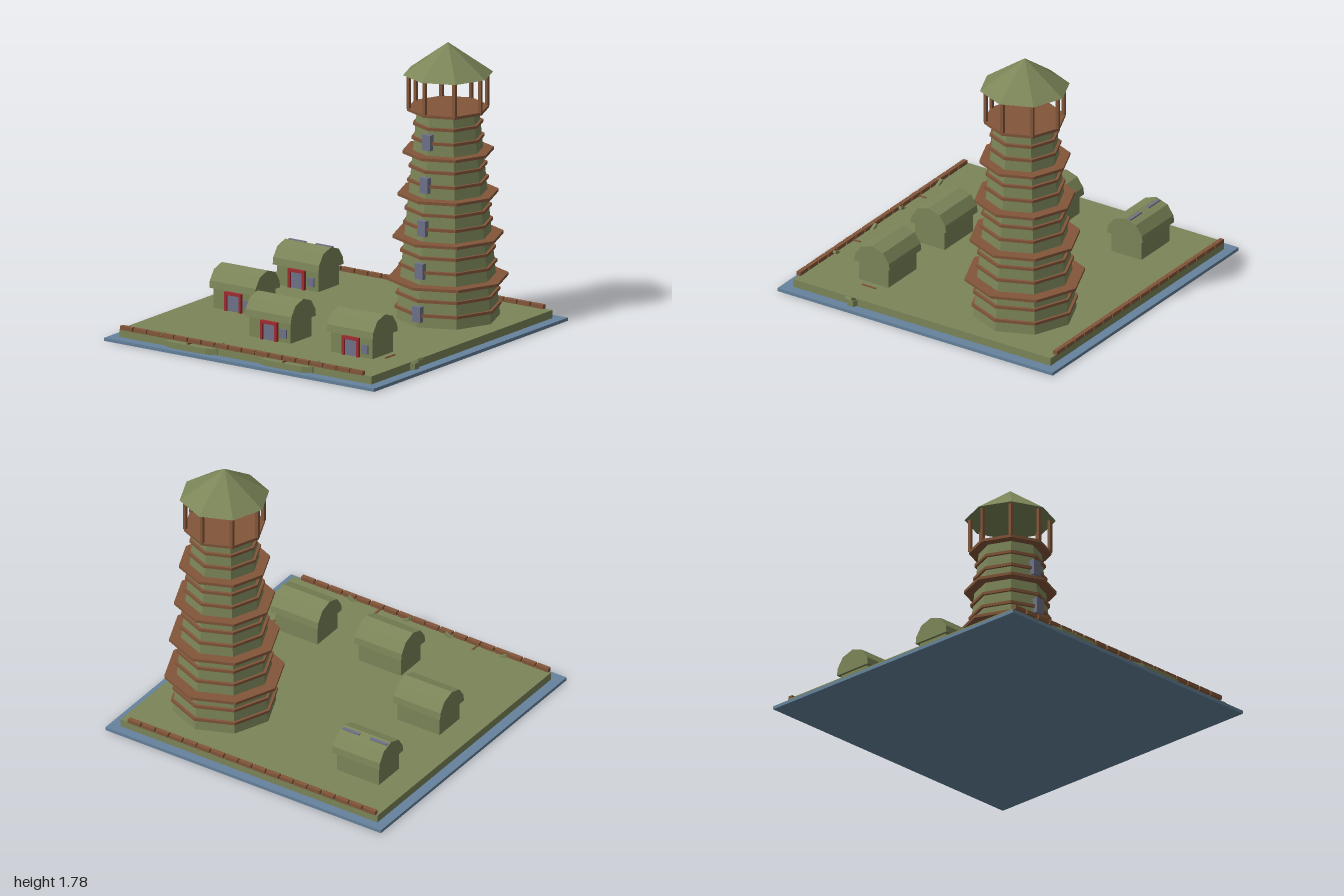
import * as THREE from 'three';

const paint = (name, color) => {
  const m = new THREE.MeshStandardMaterial({ color });
  m.name = name;
  return m;
};

export function createModel() {
  const root = new THREE.Group();
  const green = paint('moss green', 0x7b8558);
  const brown = paint('timber brown', 0x82563a);
  const grey = paint('glass grey', 0x6e7288);
  const red = paint('door red', 0xa02c30);
  const blue = paint('water blue', 0x65829c);

  const add = (parent, name, geo, mat, x = 0, y = 0, z = 0) => {
    const m = new THREE.Mesh(geo, mat);
    m.name = name;
    m.position.set(x, y, z);
    parent.add(m);
    return m;
  };
  const box = (parent, name, mat, w, h, d, x, y, z) =>
    add(parent, name, new THREE.BoxGeometry(w, h, d), mat, x, y, z);
  // Eight-sided drum with flat faces and a corner towards the front
  const octagon = (rTop, rBottom, h) =>
    new THREE.CylinderGeometry(rTop, rBottom, h, 8).toNonIndexed();
  const flat = (geo) => { geo.computeVertexNormals(); return geo; };
  const group = (name, x, y, z) => {
    const g = new THREE.Group();
    g.name = name;
    g.position.set(x, y, z);
    root.add(g);
    return g;
  };

  // Water and island
  box(root, 'water', blue, 2, 0.02, 2, 0, 0.01, 0);
  box(root, 'ground', green, 1.865, 0.05, 1.87, -0.002, 0.045, -0.004);

  // Low brick walls along front and back
  for (const z of [-0.933, 0.932])
    for (let i = 0; i < 18; i++)
      box(root, 'wallBrick', brown, 0.09, 0.025, 0.028, -0.876 + i * 0.1003, 0.0825, z);

  // Tower
  const tower = group('tower', 0.5, 0, -0.46);
  const y0 = 0.07, y1 = 1.365;
  const radiusAt = (y) => 0.318 - 0.128 * (y - y0) / (y1 - y0);
  add(tower, 'towerShaft', flat(octagon(0.19, 0.318, y1 - y0)), green, 0, (y0 + y1) / 2, 0);

  // Every third ring is a wide ledge, the topmost is the lookout floor
  for (let i = 0; i < 15; i++) {
    const y = 0.145 + i * 0.0875;
    const wide = i % 3 === 2;
    const r = wide ? 0.369 - 0.03 * (i - 2) / 3 : radiusAt(y) + 0.017;
    add(tower, wide ? 'ledge' : 'trimRing', flat(octagon(r, r, 0.018)), brown, 0, y, 0);
  }
  for (let i = 0; i < 5; i++) {
    const y = 0.152 + i * 0.262;
    box(tower, 'towerWindow', grey, 0.06, 0.097, 0.04, 0, y, radiusAt(y));
  }
  for (let i = 0; i < 8; i++) {
    const a = i * Math.PI / 4;
    box(tower, 'lookoutPost', brown, 0.02, 0.215, 0.02, 0.24 * Math.sin(a), 1.4825, 0.24 * Math.cos(a));
  }
  add(tower, 'towerRoof', flat(new THREE.ConeGeometry(0.275, 0.195, 8).toNonIndexed()), green, 0, 1.6825, 0);

  // Huts with faceted barrel roofs
  const half = [[0.129, 0], [0.123, 0.044], [0.08, 0.106]];
  const profile = [...half, [0, 0.132], ...half.map(([x, y]) => [-x, y]).reverse()];
  const roofShape = new THREE.Shape(profile.map(([x, y]) => new THREE.Vector2(x, y)));
  const roofGeo = new THREE.ExtrudeGeometry(roofShape, { depth: 0.34, bevelEnabled: false });
  roofGeo.translate(0, 0, -0.17).rotateY(Math.PI / 2);

  const hut = (x, z) => {
    const g = group('hut', x, 0, z);
    box(g, 'hutWalls', green, 0.305, 0.13, 0.215, 0, 0.135, 0);
    add(g, 'hutRoof', roofGeo, green, 0, 0.197, 0);
    for (const s of [-1, 1])
      box(g, 'doorPost', red, 0.018, 0.118, 0.024, s * 0.053, 0.129, 0.115);
    box(g, 'doorLintel', red, 0.124, 0.018, 0.024, 0, 0.18, 0.115);
    box(g, 'door', grey, 0.088, 0.101, 0.008, 0, 0.1205, 0.111);
    box(g, 'hutWindow', grey, 0.05, 0.055, 0.014, 0.1, 0.125, 0.111);
    return g;
  };
  const rearHut = hut(-0.605, -0.555);
  hut(-0.605, 0.1);
  hut(-0.053, 0.5);
  hut(0.553, 0.5);

  // Skylight strips on the rear hut
  for (const s of [-1, 1])
    box(rearHut, 'skylight', grey, 0.122, 0.009, 0.02, s * 0.1, 0.322, -0.026);

  // Boats moored at the edge of the island
  const hull = new THREE.Shape([[-0.2, 0.02], [-0.135, 0.05], [0.135, 0.05], [0.2, 0.02],
    [0.2, -0.02], [0.135, -0.05], [-0.135, -0.05], [-0.2, -0.02]]
    .map(([x, z]) => new THREE.Vector2(x, z)));
  const hullGeo = new THREE.ExtrudeGeometry(hull, { depth: 0.038, bevelEnabled: false });
  hullGeo.rotateX(-Math.PI / 2);
  for (const [x, z] of [[-0.405, 0.92], [0.3, 0.92], [0.758, 0.498]]) {
    const g = group('boat', x, 0, z);
    add(g, 'hull', hullGeo, green, 0, 0.024, 0);
    for (const s of [-1, 1])
      box(g, 'boatStem', green, 0.06, 0.016, 0.045, s * 0.197, 0.075, 0).rotation.z = s * 0.5;
    box(g, 'oar', brown, 0.012, 0.012, 0.1, 0, 0.07, 0);
  }

  return root;
}
